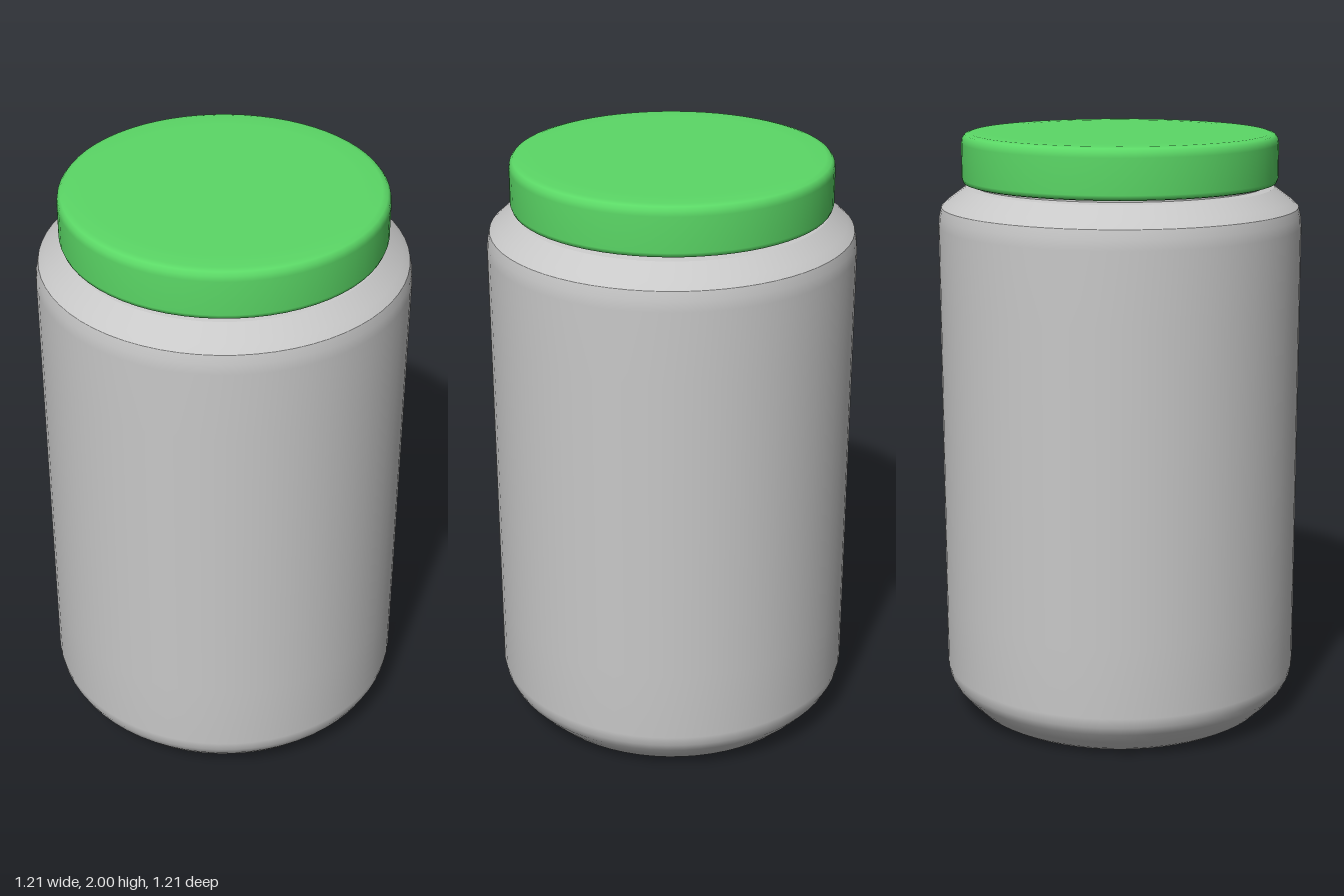
import * as THREE from 'three';

const SEGMENTS = 64;

// Surface of revolution through [radius, height] pairs, listed bottom to top
function turned(name, profile, material) {
  const points = profile.map(([r, y]) => new THREE.Vector2(r, y));
  const mesh = new THREE.Mesh(new THREE.LatheGeometry(points, SEGMENTS), material);
  mesh.name = name;
  return mesh;
}

export function createModel() {
  const jarGrey = new THREE.MeshStandardMaterial({ color: 0xc8c8c8 });
  jarGrey.name = 'jar grey';
  const lidGreen = new THREE.MeshStandardMaterial({ color: 0x5bd866 });
  lidGreen.name = 'lid green';

  const model = new THREE.Group();
  model.name = 'jar';

  // Jar: each piece is its own lathe, so the edges between them stay sharp
  const jar = new THREE.Group();
  jar.name = 'container';
  jar.add(
    turned('base', [[0, 0], [0.44, 0], [0.49, 0.005]], jarGrey),
    turned('body', [
      [0.49, 0.005], [0.515, 0.02], [0.55, 0.055], [0.585, 0.095], [0.6, 0.125], [0.607, 0.16],
      [0.607, 0.4], [0.607, 1.45], [0.607, 1.69], [0.604, 1.725], [0.597, 1.755],
    ], jarGrey),
    turned('shoulder', [[0.597, 1.755], [0.572, 1.778], [0.515, 1.82]], jarGrey),
    turned('shoulderTop', [[0.515, 1.82], [0.49, 1.825]], jarGrey),
    turned('neck', [[0.49, 1.825], [0.49, 1.85]], jarGrey),
  );

  // Screw lid with rounded rims
  const lid = new THREE.Group();
  lid.name = 'lid';
  lid.add(
    turned('lidUnderside', [[0, 1.832], [0.51, 1.832]], lidGreen),
    turned('lidShell', [
      [0.51, 1.832], [0.522, 1.836], [0.527, 1.85], [0.527, 1.965], [0.524, 1.982],
      [0.515, 1.993], [0.498, 1.998], [0.43, 2], [0, 2],
    ], lidGreen),
  );

  model.add(jar, lid);
  return model;
}
